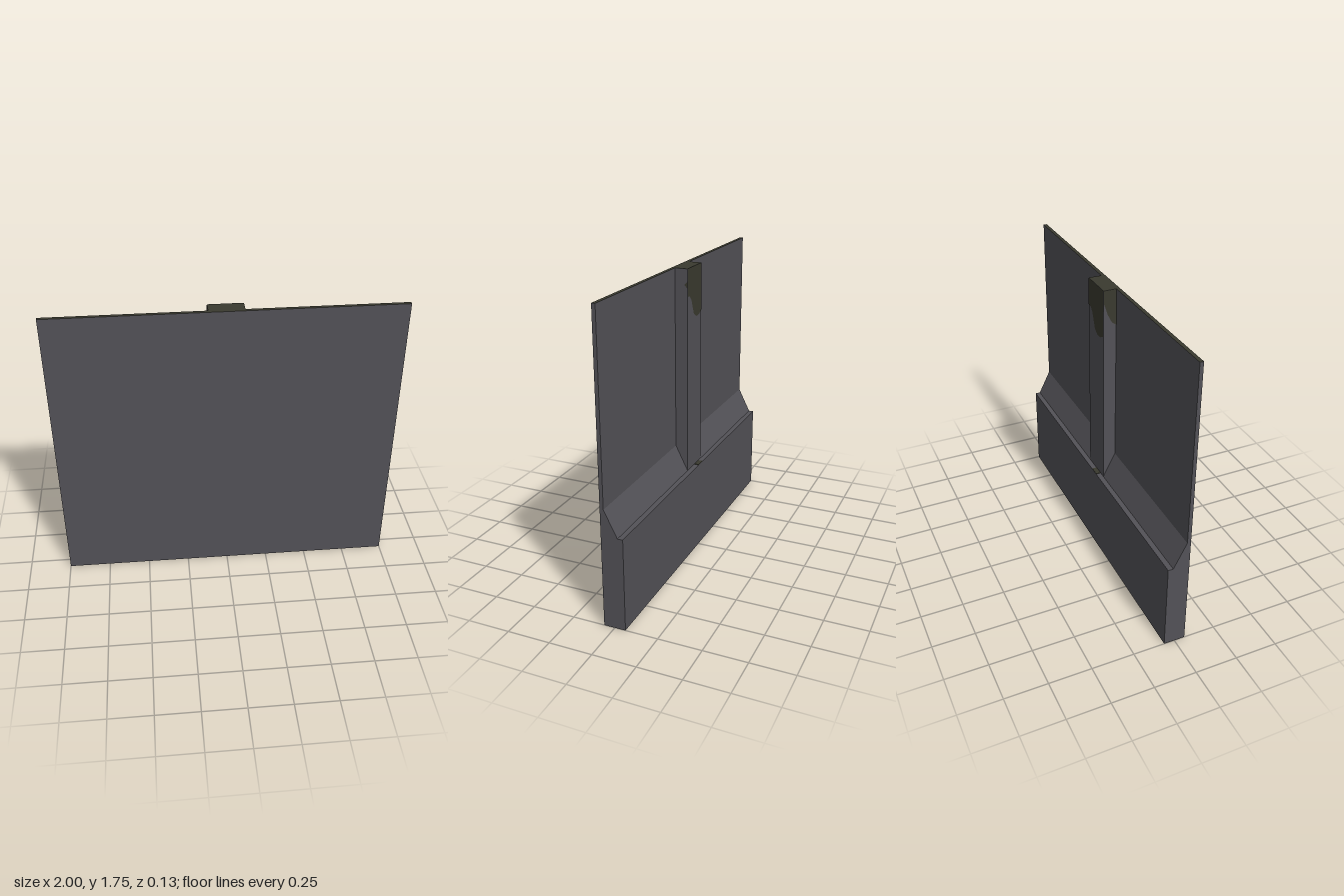
import * as THREE from 'three';

const FRONT = 0.063, PANEL_BACK = 0.042, POST_BACK = -0.033, BACK = -0.063;
const HEIGHT = 1.75, LEDGE = 0.54;

export function createModel() {
  const group = new THREE.Group();
  const grey = new THREE.MeshStandardMaterial({ color: 0x535257 });
  grey.name = 'slate grey';
  const olive = new THREE.MeshStandardMaterial({ color: 0x3a3a2f });
  olive.name = 'dark olive';

  const add = (name, geometry, material) => {
    const mesh = new THREE.Mesh(geometry, material);
    mesh.name = name;
    group.add(mesh);
    return mesh;
  };

  // Upright grey block with an olive top face
  const block = (name, width, y0, z0, z1) => {
    const h = HEIGHT - y0;
    const mesh = add(name, new THREE.BoxGeometry(width, h, z1 - z0),
      [grey, grey, olive, grey, grey, grey]);
    mesh.position.set(0, y0 + h / 2, (z0 + z1) / 2);
  };

  // Flat olive stain made from a 2D outline
  const stain = (name, points, turn) => {
    const shape = new THREE.Shape(points.map(([x, y]) => new THREE.Vector2(x, y)));
    return add(name, new THREE.ShapeGeometry(shape).rotateY(turn), olive);
  };

  // Wall panel and the rib behind it
  block('wallPanel', 2, 0, PANEL_BACK, FRONT);
  block('rearPost', 0.2, LEDGE, POST_BACK, PANEL_BACK);

  // Thick plinth with a sloped shoulder, extruded along x
  const profile = new THREE.Shape([
    [-PANEL_BACK, 0], [-BACK, 0], [-BACK, LEDGE], [-POST_BACK, LEDGE], [-PANEL_BACK, 0.69],
  ].map(([x, y]) => new THREE.Vector2(x, y)));
  const plinth = new THREE.ExtrudeGeometry(profile, { depth: 2, bevelEnabled: false });
  add('plinth', plinth.translate(0, 0, -1).rotateY(Math.PI / 2), grey);

  // Stains running down from the post top
  stain('postBackStain', [
    [-0.1, HEIGHT], [-0.1, 1.595], [-0.07, 1.59], [-0.047, 1.565], [-0.03, 1.52],
    [-0.013, 1.48], [0.02, 1.457], [0.06, 1.46], [0.1, 1.48], [0.1, HEIGHT],
  ], Math.PI).position.z = POST_BACK - 0.002;
  stain('postSideStain', [
    [POST_BACK, HEIGHT], [POST_BACK, 1.68], [-0.01, 1.61], [0.015, 1.56],
    [PANEL_BACK, 1.54], [PANEL_BACK, HEIGHT],
  ], -Math.PI / 2).position.x = -0.102;
  stain('postSmallStain', [
    [-POST_BACK, 1.68], [0.016, 1.66], [-POST_BACK, 1.64],
  ], Math.PI / 2).position.x = 0.102;

  // Small stain on the ledge below the post
  const ledge = add('ledgeStain', new THREE.BoxGeometry(0.06, 0.004, 0.028), olive);
  ledge.position.set(-0.03, LEDGE + 0.001, -0.048);

  return group;
}
